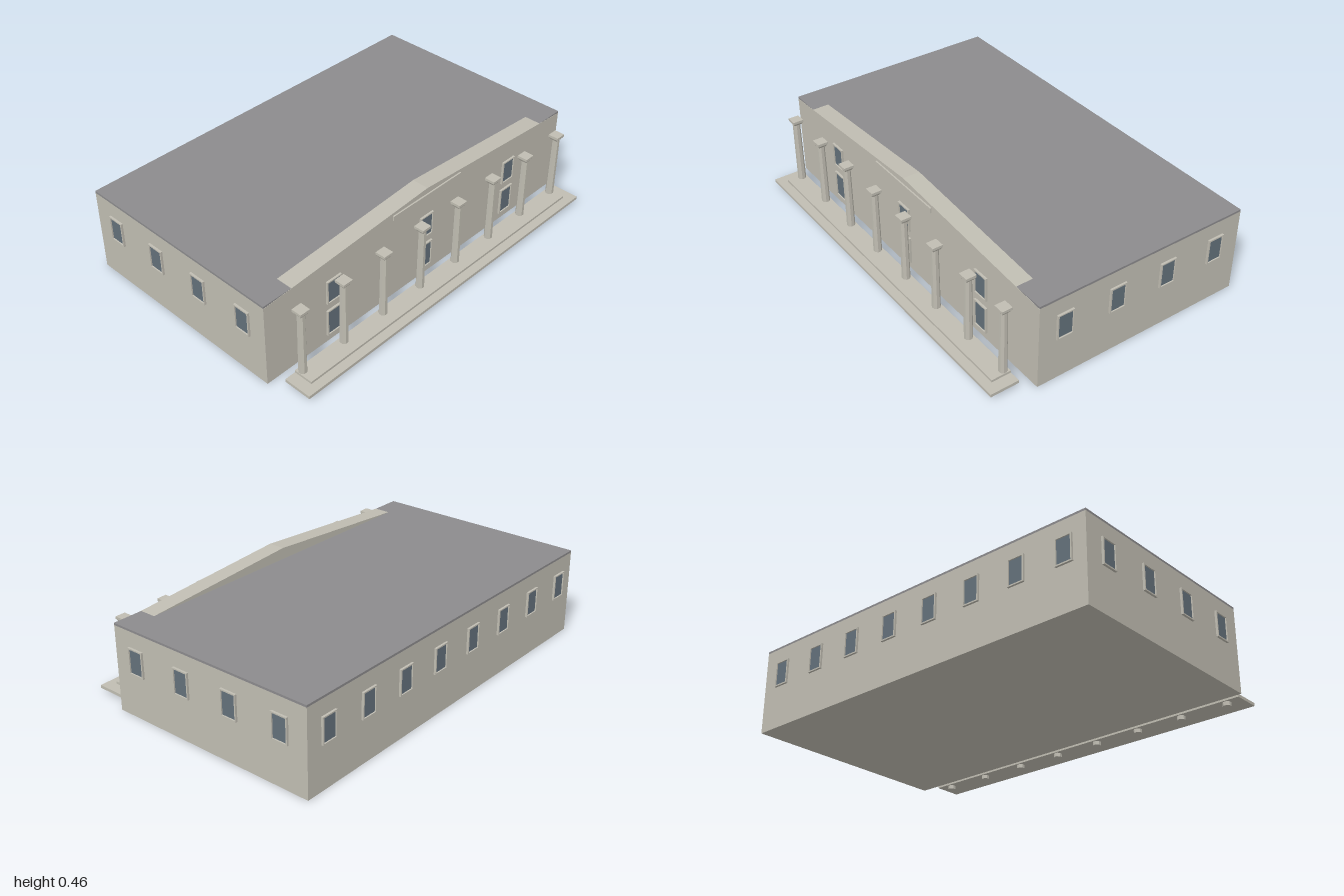
import * as THREE from 'three';

const material = (name, color) => {
  const m = new THREE.MeshStandardMaterial({ color });
  m.name = name;
  return m;
};

export function createModel() {
  const stone = material('stone', 0xc0bdb2);
  const roofGrey = material('roofGrey', 0x8c8b8d);
  const glass = material('glass', 0x63707a);

  const W = 0.938, D = 0.525; // half width and half depth of the hall
  const model = new THREE.Group();
  model.name = 'columnedHall';
  const hall = new THREE.Group();
  hall.name = 'hall';
  hall.position.z = -0.095;
  hall.rotation.y = 0.1335;
  model.add(hall);

  const add = (parent, name, geometry, mat, x, y, z) => {
    const mesh = new THREE.Mesh(geometry, mat);
    mesh.name = name;
    mesh.position.set(x, y, z);
    parent.add(mesh);
    return mesh;
  };
  // box spanning y0..y1 and z0..z1, centred on x
  const slab = (parent, name, mat, width, y0, y1, z0, z1, x = 0) =>
    add(parent, name, new THREE.BoxGeometry(width, y1 - y0, z1 - z0), mat, x, (y0 + y1) / 2, (z0 + z1) / 2);

  // Main body and flat roof
  slab(hall, 'walls', stone, W * 2, 0, 0.4, -D, D);
  slab(hall, 'roof', roofGrey, W * 2, 0.4, 0.41, -D, D);

  // Low gable above the entrance front
  const gable = new THREE.Shape([
    new THREE.Vector2(-W, 0.4), new THREE.Vector2(W, 0.4), new THREE.Vector2(0, 0.464),
  ]);
  add(hall, 'pediment', new THREE.ExtrudeGeometry(gable, { depth: 0.081, bevelEnabled: false }),
    stone, 0, 0, D - 0.08);
  slab(hall, 'plaque', stone, 0.43, 0.412, 0.436, D, D + 0.008);

  // Entrance steps
  slab(hall, 'lowerStep', stone, 1.785, 0.018, 0.032, 0.58, 0.715);
  slab(hall, 'upperStep', stone, 1.68, 0.032, 0.043, 0.58, 0.673);

  // Row of columns
  const shaftGeo = new THREE.CylinderGeometry(0.0175, 0.0195, 0.35, 8).toNonIndexed();
  shaftGeo.rotateY(Math.PI / 8);
  shaftGeo.computeVertexNormals();
  const neckGeo = new THREE.CylinderGeometry(0.034, 0.024, 0.012, 4).toNonIndexed();
  neckGeo.rotateY(Math.PI / 4);
  neckGeo.computeVertexNormals();
  const capGeo = new THREE.BoxGeometry(0.05, 0.012, 0.05);
  for (let i = 0; i < 8; i++) {
    const column = new THREE.Group();
    column.name = 'column';
    column.position.set(-0.82 + i * 0.2343, 0, 0.605);
    add(column, 'shaft', shaftGeo, stone, 0, 0.175, 0);
    add(column, 'neck', neckGeo, stone, 0, 0.354, 0);
    add(column, 'capital', capGeo, stone, 0, 0.366, 0);
    hall.add(column);
  }

  // Framed opening on a wall; its local +z points outward
  const opening = (name, x, z, turn, y0, y1, w) => {
    const g = new THREE.Group();
    g.name = name;
    g.position.set(x, 0, z);
    g.rotation.y = turn;
    const t = 0.006, d = 0.01;
    slab(g, 'pane', glass, w, y0, y1, 0, 0.004);
    slab(g, 'lintel', stone, w + 2 * t, y1, y1 + t, 0, d);
    slab(g, 'sill', stone, w + 2 * t, y0 - t, y0, 0, d);
    for (const s of [-1, 1]) slab(g, 'jamb', stone, t, y0, y1, 0, d, s * (w + t) / 2);
    hall.add(g);
  };

  // Front doors with windows above
  for (const x of [-0.565, 0, 0.565]) {
    opening('door', x, D, 0, 0.043, 0.163, 0.07);
    opening('frontWindow', x, D, 0, 0.213, 0.318, 0.07);
  }
  // Back and side windows
  for (let i = 0; i < 8; i++) opening('backWindow', -0.833 + i * 0.236, -D, Math.PI, 0.211, 0.321, 0.07);
  for (let i = 0; i < 4; i++) {
    const z = 0.4 - i * 0.264;
    for (const s of [-1, 1]) opening('sideWindow', s * W, z, s * Math.PI / 2, 0.211, 0.321, 0.07);
  }
  return model;
}
